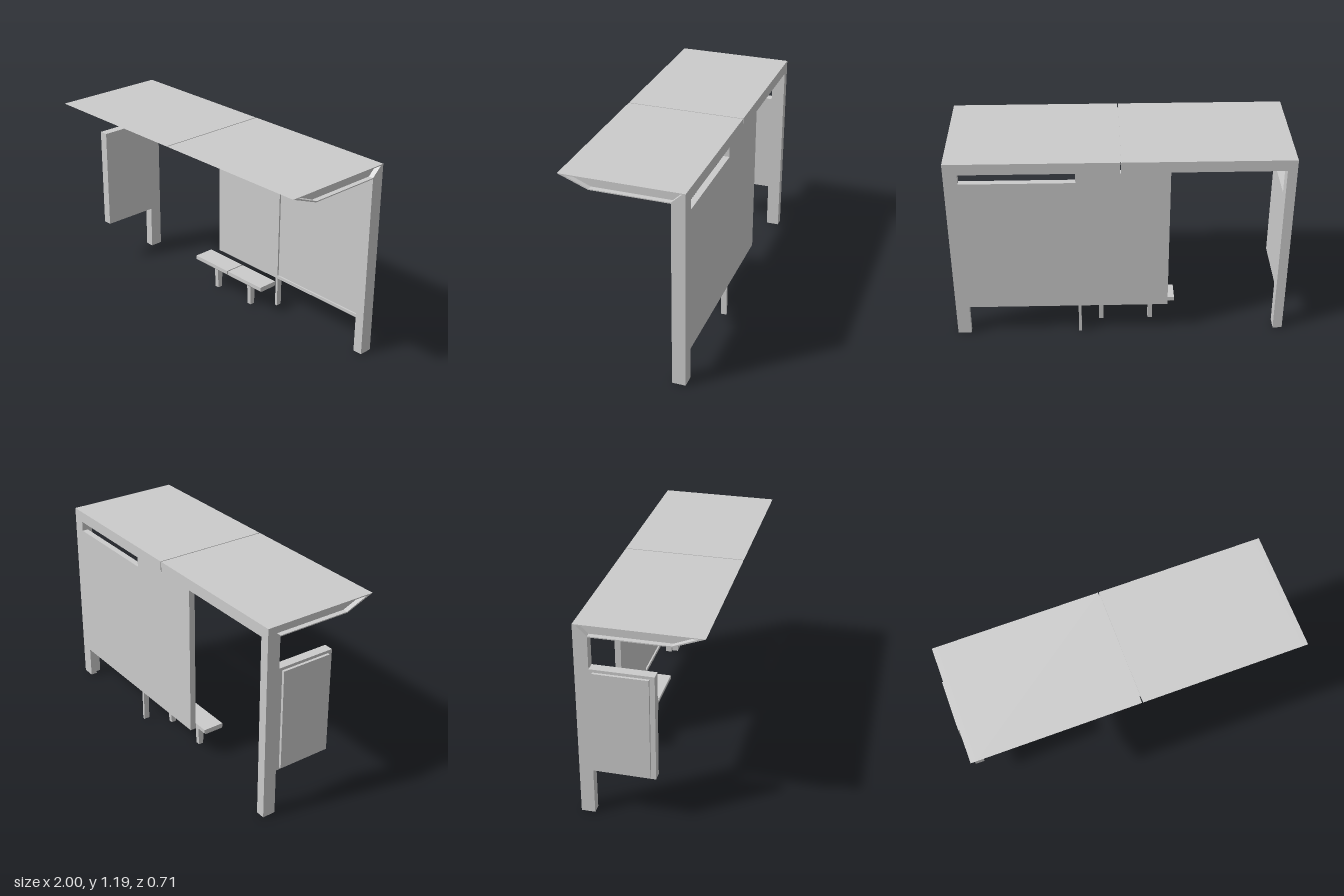
import * as THREE from 'three';

const material = new THREE.MeshStandardMaterial({ color: 0xcccccc, flatShading: true });

function add(parent, name, geometry) {
  const mesh = new THREE.Mesh(geometry, material);
  mesh.name = name;
  parent.add(mesh);
  return mesh;
}

// Box given by its limits on each axis
function box(parent, name, [x0, x1], [y0, y1], [z0, z1]) {
  const g = new THREE.BoxGeometry(x1 - x0, y1 - y0, z1 - z0);
  g.translate((x0 + x1) / 2, (y0 + y1) / 2, (z0 + z1) / 2);
  return add(parent, name, g);
}

const points = (list) => list.map(([a, b]) => new THREE.Vector2(a, b));

// Profile of [z, y] points extruded along x, with an optional hole
function extrudeX(parent, name, profile, [x0, x1], hole) {
  const shape = new THREE.Shape(points(profile));
  if (hole) shape.holes.push(new THREE.Path(points(hole)));
  const g = new THREE.ExtrudeGeometry(shape, { depth: x1 - x0, bevelEnabled: false });
  g.rotateY(-Math.PI / 2).translate(x1, 0, 0);
  return add(parent, name, g);
}

export function createModel() {
  const model = new THREE.Group();
  model.name = 'busShelter';
  const LEFT = -0.984, RIGHT = 1, BACK = -0.355, POST = -0.275, ROOF = 1.122;

  // Roof: two halves with a sloped front and recessed ends, joined at a seam
  const roof = new THREE.Group();
  roof.name = 'roof';
  model.add(roof);
  const outline = [[BACK, ROOF], [0.18, ROOF], [0.355, 1.19], [BACK, 1.19]];
  const recess = [[-0.275, 1.128], [0.178, 1.128], [0.315, 1.184], [-0.335, 1.184]];
  const lip = 0.03, seam = 0.008, gap = 0.003;
  extrudeX(roof, 'roofLeftHalf', outline, [seam + gap, RIGHT - lip]);
  extrudeX(roof, 'roofRightHalf', outline, [LEFT + lip, seam - gap]);
  extrudeX(roof, 'roofLeftRim', outline, [RIGHT - lip, RIGHT], recess);
  extrudeX(roof, 'roofRightRim', outline, [LEFT, LEFT + lip], recess);
  extrudeX(roof, 'roofJoint', recess, [seam - gap, seam + gap]);

  // Posts
  box(model, 'leftPost', [0.942, RIGHT], [0, ROOF], [BACK, POST]);
  box(model, 'rightPost', [LEFT, -0.928], [0, ROOF], [BACK, POST]);
  box(model, 'leftPostStrip', [0.92, 0.942], [0, ROOF], [BACK, -0.315]);
  box(model, 'middlePost', [0.245, 0.262], [0, 0.195], [BACK, -0.32]);

  // Rear wall: plain panel, and a framed panel with an open slot above
  const wall = new THREE.Group();
  wall.name = 'rearWall';
  model.add(wall);
  const front = -0.318;
  box(wall, 'plainPanel', [-0.275, 0.262], [0.195, ROOF], [BACK, front]);
  box(wall, 'recessedPanel', [0.262, 0.92], [0.215, 1.04], [BACK, front - 0.01]);
  box(wall, 'lowerRail', [0.262, 0.92], [0.195, 0.215], [BACK, front]);
  box(wall, 'upperRail', [0.262, 0.92], [1.04, 1.062], [BACK, front]);

  // Side wall with a display board on its outer face
  box(model, 'sideWall', [LEFT, -0.928], [0.285, 0.932], [POST, 0.085]);
  box(model, 'displayBoard', [-1, LEFT], [0.3, 0.915], [-0.255, 0.057]);

  // Bench: two seats with chamfered undersides
  const bench = new THREE.Group();
  bench.name = 'bench';
  model.add(bench);
  const seat = [[-0.279, 0.162], [-0.161, 0.162], [-0.155, 0.169],
    [-0.155, 0.193], [-0.285, 0.193], [-0.285, 0.169]];
  extrudeX(bench, 'rightSeat', seat, [-0.32, -0.026]);
  extrudeX(bench, 'leftSeat', seat, [-0.018, 0.275]);

  // Bench legs, tapered towards the ground, with flared brackets
  for (const x of [-0.176, 0.126]) {
    extrudeX(bench, 'benchLeg',
      [[-0.236, 0], [-0.206, 0], [-0.199, 0.155], [-0.243, 0.155]], [x - 0.014, x + 0.014]);
    const bracket = new THREE.Shape(points(
      [[x - 0.03, 0.152], [x + 0.03, 0.152], [x + 0.06, 0.162], [x - 0.06, 0.162]]));
    add(bench, 'benchBracket',
      new THREE.ExtrudeGeometry(bracket, { depth: 0.044, bevelEnabled: false }).translate(0, 0, -0.243));
  }
  return model;
}
